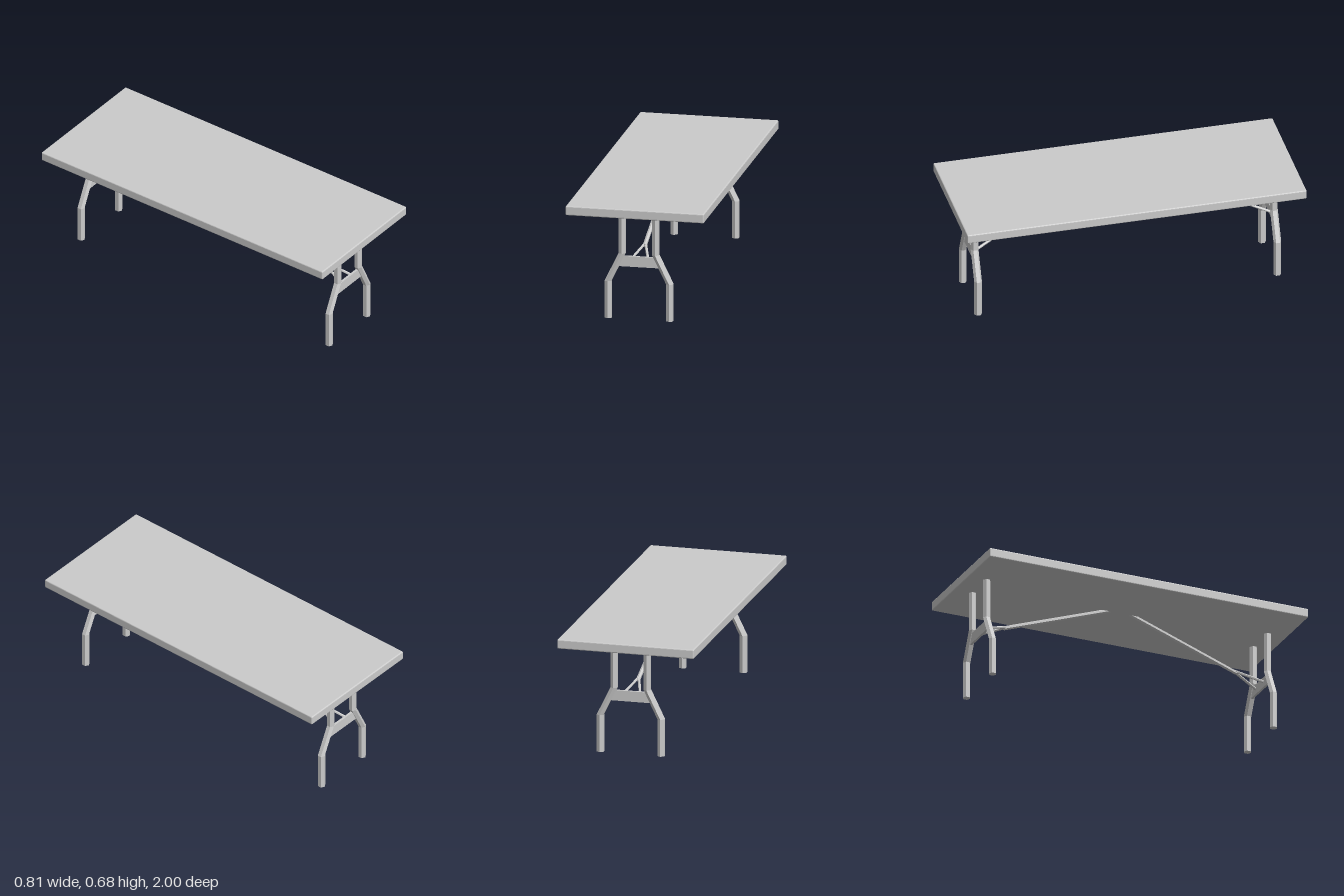
import * as THREE from 'three';
import { RoundedBoxGeometry } from 'three/addons/geometries/RoundedBoxGeometry.js';

const material = new THREE.MeshStandardMaterial({ color: 0xcccccc, flatShading: true });

function part(name, geometry, parent) {
  const mesh = new THREE.Mesh(geometry, material);
  mesh.name = name;
  parent.add(mesh);
  return mesh;
}

// Six-sided rod between two points
function rod(name, from, to, radius, parent) {
  const a = new THREE.Vector3(...from), b = new THREE.Vector3(...to);
  const dir = b.clone().sub(a);
  const mesh = part(name, new THREE.CylinderGeometry(radius, radius, dir.length(), 6), parent);
  mesh.position.copy(a).add(b).multiplyScalar(0.5);
  mesh.quaternion.setFromUnitVectors(new THREE.Vector3(0, 1, 0), dir.normalize());
  return mesh;
}

// Hexagonal tube whose rings are slid along a bent path of [x, y] points
function bentLeg(side) {
  const path = [[0.18, 0], [0.18, 0.22], [0.098, 0.388], [0.098, 0.635]];
  const geometry = new THREE.CylinderGeometry(0.0228, 0.0228, 3, 6, 3);
  const pos = geometry.attributes.position;
  for (let i = 0; i < pos.count; i++) {
    const [x, y] = path[Math.round(pos.getY(i) + 1.5)];
    pos.setXYZ(i, pos.getX(i) + side * x, y, pos.getZ(i));
  }
  geometry.computeVertexNormals();
  return geometry;
}

// One folding leg frame with its brace, at the +z end
function legFrame(name) {
  const frame = new THREE.Group();
  frame.name = name;
  const z = 0.882;
  for (const side of [-1, 1]) {
    part(side > 0 ? 'leftLeg' : 'rightLeg', bentLeg(side), frame).position.z = z;
    rod('braceFork', [0, 0.405, 0.71], [side * 0.055, 0.343, 0.878], 0.008, frame);
  }

  // Cross plate, narrowing upward to follow the legs
  const shape = new THREE.Shape();
  shape.moveTo(-0.13, 0.31);
  shape.lineTo(0.13, 0.31);
  shape.lineTo(0.1, 0.372);
  shape.lineTo(-0.1, 0.372);
  const plate = new THREE.ExtrudeGeometry(shape, { depth: 0.014, bevelEnabled: false });
  part('crossPlate', plate, frame).position.z = z - 0.007;

  // Diagonal brace up to the underside
  rod('brace', [0, 0.394, 0.73], [0, 0.636, 0.06], 0.0125, frame);
  return frame;
}

export function createModel() {
  const table = new THREE.Group();
  table.name = 'foldingTable';

  // Table top with softened edges
  part('tableTop', new RoundedBoxGeometry(0.81, 0.055, 2, 2, 0.007), table).position.y = 0.6525;

  const front = legFrame('frontLegFrame');
  const back = legFrame('backLegFrame');
  back.rotation.y = Math.PI;
  table.add(front, back);
  return table;
}
